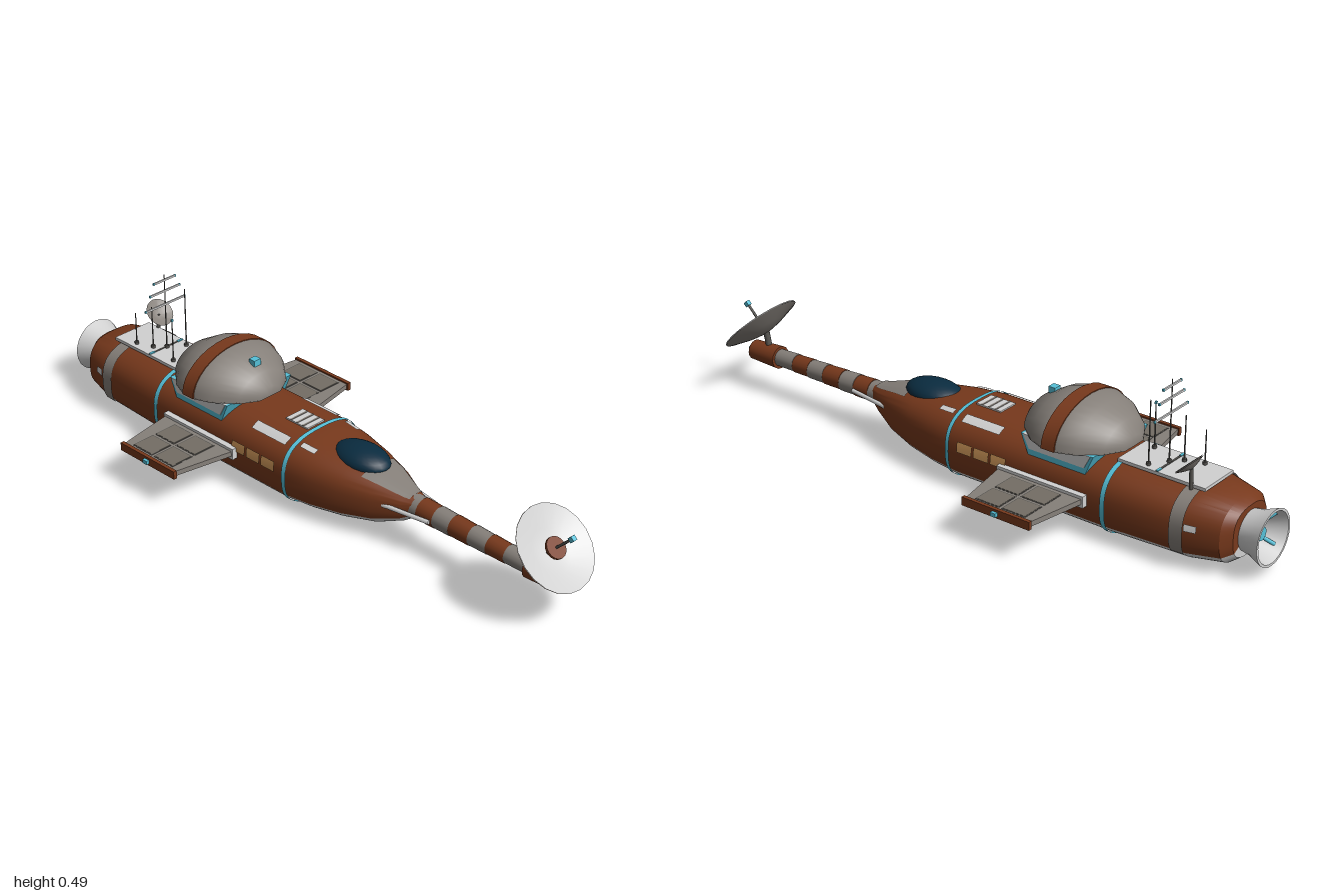
import * as THREE from 'three';
import { toCreasedNormals } from 'three/addons/utils/BufferGeometryUtils.js';

export function createModel() {
  const root = new THREE.Group();
  root.name = 'spaceship';
  const mat = (name, color) => new THREE.MeshStandardMaterial({ name, color, side: THREE.DoubleSide });
  const rust = mat('rust', 0x78391c), grey = mat('warm grey', 0x86807a), white = mat('off white', 0xd2d2d2);
  const cyan = mat('cyan', 0x56c0d8), navy = mat('navy glass', 0x0a2c40), amber = mat('amber', 0xd0985a);
  const dark = mat('panel grey', 0x746e65), metal = mat('dark metal', 0x565450);

  const add = (name, geo, m, x = 0, y = 0, z = 0, parent = root) => {
    const mesh = new THREE.Mesh(geo, m);
    mesh.name = name;
    mesh.position.set(x, y, z);
    parent.add(mesh);
    return mesh;
  };
  const box = (name, m, w, h, d, x, y, z, parent) => add(name, new THREE.BoxGeometry(w, h, d), m, x, y, z, parent);
  const rod = (name, m, a, b, r, r2 = r, sides = 8) => {
    const p = new THREE.Vector3(...a), q = new THREE.Vector3(...b), d = q.clone().sub(p);
    const mesh = add(name, new THREE.CylinderGeometry(r2, r, d.length(), sides), m);
    mesh.position.copy(p).add(q).multiplyScalar(0.5);
    mesh.quaternion.setFromUnitVectors(new THREE.Vector3(0, 1, 0), d.normalize());
    return mesh;
  };
  const lathe = (pts, seg = 24, start = 0, length = Math.PI * 2) =>
    toCreasedNormals(new THREE.LatheGeometry(pts.map((p) => new THREE.Vector2(...p)), seg, start, length), 0.6);
  const extrude = (pts, depth) => new THREE.ExtrudeGeometry(
    new THREE.Shape(pts.map((p) => new THREE.Vector2(...p))), { depth, bevelEnabled: false });

  // Hull stations: x, half width, bottom, top
  const stations = [
    [-0.927, 0.02, 0.1, 0.13], [-0.925, 0.085, 0.04, 0.19], [-0.9, 0.115, 0.022, 0.206], [-0.8, 0.143, 0.01, 0.22],
    [-0.55, 0.152, 0.003, 0.226], [0, 0.152, 0.003, 0.226], [0.1, 0.14, 0.01, 0.219], [0.2, 0.118, 0.022, 0.206],
    [0.3, 0.085, 0.042, 0.19], [0.38, 0.047, 0.076, 0.167], [0.41, 0.033, 0.097, 0.162],
  ];
  const section = (x) => {
    let i = 0;
    while (i < stations.length - 2 && x > stations[i + 1][0]) i++;
    const a = stations[i], b = stations[i + 1], t = (x - a[0]) / (b[0] - a[0]);
    return a.map((v, k) => v + (b[k] - v) * t);
  };
  // Patch of hull skin between two x values and two angles (0 = left side, 90 = top)
  const skin = (name, m, x0, x1, a0, a1, off = 0) => {
    const xs = [x0, ...stations.map((s) => s[0]).filter((x) => x > x0 && x < x1), x1];
    const n = Math.max(2, Math.ceil((a1 - a0) / 7.5)), pos = [], idx = [];
    const bend = (v) => Math.sign(v) * Math.abs(v) ** 0.75;
    xs.forEach((x, i) => {
      const [, w, lo, hi] = section(x);
      for (let j = 0; j <= n; j++) {
        const t = THREE.MathUtils.degToRad(a0 + ((a1 - a0) * j) / n);
        pos.push(x, (lo + hi) / 2 + ((hi - lo) / 2 + off) * bend(Math.sin(t)), (w + off) * bend(Math.cos(t)));
        if (i < xs.length - 1 && j < n) {
          const a = i * (n + 1) + j, b = a + n + 1;
          idx.push(a, b, b + 1, a, b + 1, a + 1);
        }
      }
    });
    const g = new THREE.BufferGeometry();
    g.setAttribute('position', new THREE.Float32BufferAttribute(pos, 3));
    g.setIndex(idx);
    return add(name, toCreasedNormals(g, 0.5), m);
  };
  const skinPair = (name, m, x0, x1, a0, a1, off) => {
    skin(name + 'Left', m, x0, x1, a0, a1, off);
    skin(name + 'Right', m, x0, x1, 180 - a1, 180 - a0, off);
  };

  // Hull, belly, bands and surface plates
  skin('upperHull', rust, -0.927, 0.41, -30, 210);
  skin('belly', white, -0.927, 0.41, 210, 330);
  skin('rearBand', grey, -0.8, -0.757, -30, 210, 0.004);
  skin('cyanBandRear', cyan, -0.548, -0.532, 0, 360, 0.004);
  skin('cyanBandFront', cyan, 0.01, 0.024, 0, 360, 0.004);
  skin('noseDeck', grey, 0.25, 0.4, 55, 125, 0.003);
  skinPair('shoulderPlate', white, -0.15, -0.01, 46, 61, 0.004);
  skinPair('frontShoulderPlate', white, 0.035, 0.09, 54, 63, 0.004);
  skinPair('sideVent', white, -0.838, -0.803, 4, 13, 0.005);
  for (const x of [-0.2, -0.138, -0.076]) skinPair('window', amber, x, x + 0.055, 2, 15, 0.004);

  // Rear and middle deck
  box('rearDeck', white, 0.29, 0.01, 0.14, -0.675, 0.228, 0);
  box('deckSeam', metal, 0.006, 0.002, 0.14, -0.66, 0.234, 0);
  for (const s of [1, -1]) box('seamLamp', cyan, 0.008, 0.004, 0.02, -0.66, 0.234, s * 0.058);
  box('midDeck', white, 0.09, 0.008, 0.07, -0.045, 0.226, 0);
  for (let i = 0; i < 3; i++) box('deckGrille', grey, 0.006, 0.003, 0.07, -0.07 + i * 0.025, 0.23, 0);

  // Canopy
  add('canopy', new THREE.SphereGeometry(1, 24, 14), navy, 0.187, 0.198, 0).scale.set(0.1, 0.038, 0.065);

  // Dome: half turn about the long axis, flattened, with a rust arch at its middle
  const halfTurn = (name, m, pts) => {
    const g = lathe(pts, 16, Math.PI, Math.PI);
    g.rotateZ(-Math.PI / 2);
    add(name, g, m, -0.365, 0.247, 0).scale.y = 0.68;
  };
  const rings = [[0.173, 0.025], [0.152, 0.078], [0.1, 0.14], [0.045, 0.172], [0, 0.173]];
  halfTurn('dome', grey, [...rings.map(([r, x]) => [r, -x]).reverse(), ...rings]);
  halfTurn('domeArch', rust, [[0.17, -0.023], [0.177, -0.023], [0.177, 0.023], [0.17, 0.023], [0.17, -0.023]]);
  const floor = [...rings, ...rings.map(([r, x]) => [r, -x]).reverse()].map(([r, x]) => [x, r]);
  const floorGeo = extrude([...floor, ...floor.map(([x, r]) => [x, -r]).reverse()], 0.003);
  floorGeo.rotateX(Math.PI / 2);
  add('domeFloor', floorGeo, grey, -0.365, 0.249);
  box('domeSensor', cyan, 0.024, 0.02, 0.026, -0.257, 0.339, 0);

  // Dome mount: white tapered block with cyan trim along its lower and sloped edges
  add('mountTrim', extrude([[-0.126, 0.247], [-0.1, 0.186], [0.1, 0.186], [0.126, 0.247]], 0.266), cyan, -0.365, 0, -0.133);
  add('mountBlock', extrude([[-0.118, 0.247], [-0.096, 0.205], [0.096, 0.205], [0.118, 0.247]], 0.27), white, -0.365, 0, -0.135);

  // Wings
  for (const s of [1, -1]) {
    const wing = new THREE.Group();
    wing.name = s > 0 ? 'leftWing' : 'rightWing';
    root.add(wing);
    const g = extrude([[-0.485, 0.14 * s], [-0.18, 0.14 * s], [-0.222, 0.362 * s], [-0.447, 0.362 * s]], 0.016);
    g.rotateX(Math.PI / 2);
    add('wingPlate', g, grey, 0, 0.128, 0, wing);
    for (const x of [-0.38, -0.288]) for (const z of [0.222, 0.31]) {
      box('wingPanelSeam', metal, 0.084, 0.001, 0.08, x, 0.1283, s * z, wing);
      box('wingPanel', dark, 0.077, 0.002, 0.073, x, 0.1285, s * z, wing);
    }
    box('wingTip', rust, 0.236, 0.026, 0.012, -0.334, 0.12, s * 0.366, wing);
    box('tipLamp', cyan, 0.018, 0.012, 0.01, -0.334, 0.12, s * 0.377, wing);
    box('wingRoot', white, 0.305, 0.036, 0.03, -0.333, 0.119, s * 0.155, wing);
    rod('noseStrut', white, [0.33, 0.128, s * 0.064], [0.485, 0.127, s * 0.038], 0.007);
  }

  // Engine nozzle
  const nozzle = add('engineNozzle', lathe([
    [0.06, 0], [0.068, 0.04], [0.086, 0.085], [0.078, 0.085], [0.06, 0.04], [0.05, 0.012], [0, 0.012],
  ]), white, -0.915, 0.113, 0);
  nozzle.rotation.z = Math.PI / 2;
  rod('engineCore', cyan, [-0.92, 0.113, 0], [-0.965, 0.113, 0], 0.035, 0.02, 16);
  for (let i = 0; i < 4; i++) {
    const a = (i + 0.5) * Math.PI / 2, c = Math.cos(a), s = Math.sin(a);
    rod('engineBrace', cyan, [-0.94, 0.113 + 0.02 * s, 0.02 * c], [-0.975, 0.113 + 0.07 * s, 0.07 * c], 0.006);
  }

  // Striped boom with its tip
  const cuts = [0.36, 0.43, 0.49, 0.55, 0.62, 0.685, 0.75, 0.83];
  const boomR = (x) => 0.037 - (x - 0.36) * 0.02;
  for (let i = 0; i < cuts.length - 1; i++) {
    const a = cuts[i], b = cuts[i + 1];
    rod('boomSegment', i % 2 ? rust : grey, [a, 0.13, 0], [b, 0.128, 0], boomR(a), boomR(b), 16);
  }
  rod('boomTip', rust, [0.825, 0.128, 0], [0.935, 0.126, 0], 0.037, 0.032, 16);
  box('boomLamp', cyan, 0.025, 0.018, 0.024, 0.94, 0.126, 0);

  // Dishes: grey outside, pale inside
  const dish = (name, r, d, x, y, z, tilt, inner) => {
    const g = new THREE.Group();
    g.name = name;
    g.position.set(x, y, z);
    g.rotation.z = -tilt;
    root.add(g);
    const bowl = [[0.001, 0], [r * 0.5, d * 0.4], [r, d]];
    add('dishBack', lathe(bowl, 20), grey, 0, 0, 0, g);
    add('dishFace', lathe([...bowl].reverse(), 20), inner, 0, 0.003, 0, g);
    return g;
  };
  const big = dish('noseDish', 0.13, 0.036, 0.88, 0.197, 0, 0.78, white);
  add('dishHub', new THREE.CylinderGeometry(0.033, 0.033, 0.008, 16), rust, 0, 0.038, 0, big);
  add('feedRod', new THREE.CylinderGeometry(0.004, 0.004, 0.08, 8), metal, 0, 0.075, 0, big);
  box('feedTip', cyan, 0.015, 0.015, 0.015, 0, 0.114, 0, big);
  rod('dishMount', metal, [0.87, 0.14, 0], [0.883, 0.202, 0], 0.01);
  dish('deckDish', 0.046, 0.015, -0.775, 0.278, -0.07, 0.75, grey);
  rod('deckDishMount', metal, [-0.775, 0.2, -0.07], [-0.773, 0.28, -0.07], 0.006);

  // Deck antennas: x, z, top
  for (const [x, z, top] of [[-0.74, 0.05, 0.34], [-0.685, 0.03, 0.375], [-0.655, 0, 0.487], [-0.62, -0.05, 0.432], [-0.575, 0.045, 0.372]]) {
    rod('antenna', metal, [x, 0.22, z], [x, top, z], 0.0024, 0.0016, 6);
    rod('antennaBase', metal, [x, 0.23, z], [x, 0.242, z], 0.007);
  }
  for (const [y, h] of [[0.386, 0.08], [0.432, 0.06], [0.469, 0.043]]) {
    box('antennaBar', white, 0.005, 0.006, h * 2, -0.655, y, 0);
    for (const s of [1, -1]) box('barTip', cyan, 0.006, 0.007, 0.004, -0.655, y, s * h);
  }
  box('antennaTip', cyan, 0.006, 0.008, 0.006, -0.575, 0.375, 0.045);
  return root;
}
